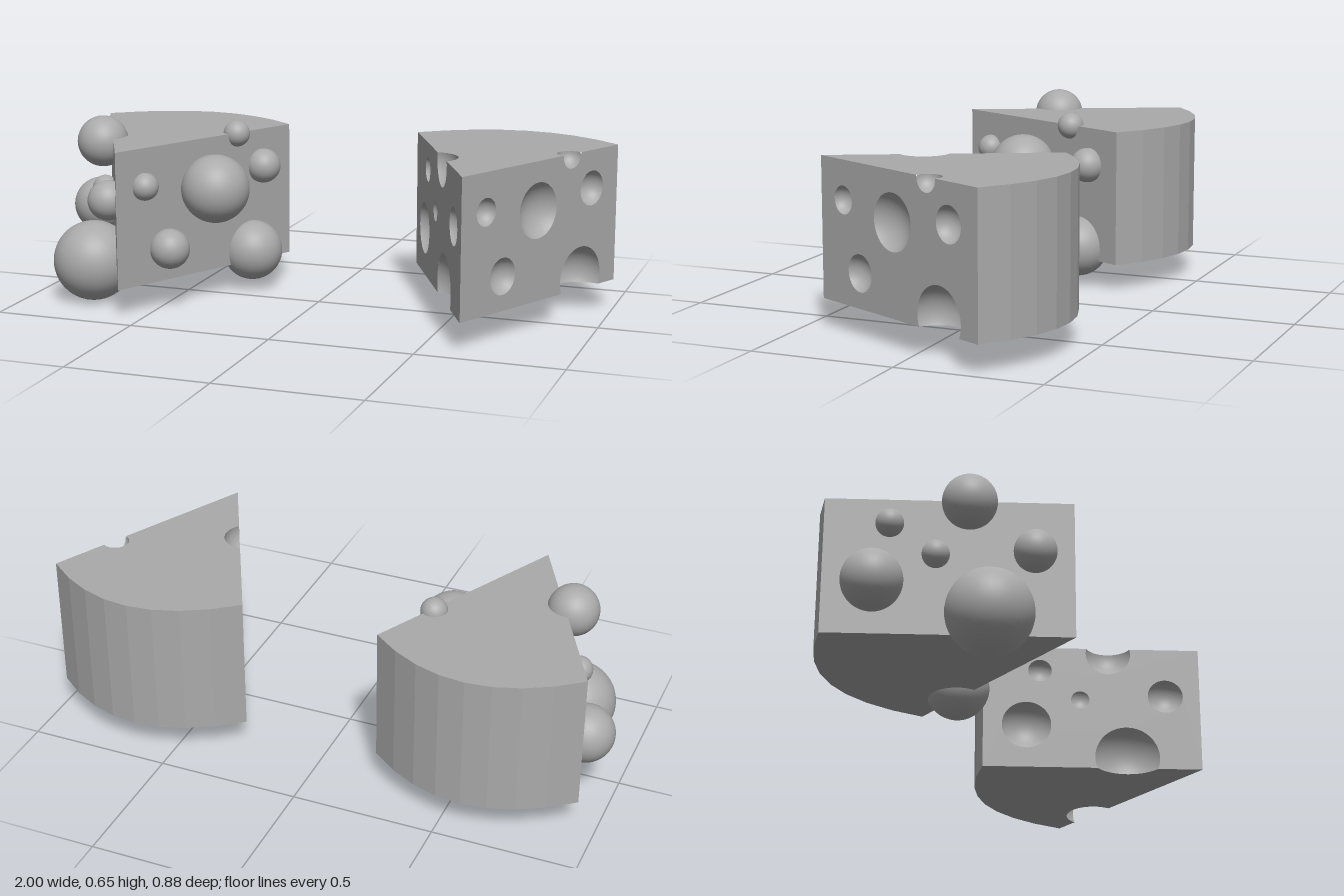
import * as THREE from 'three';

const Y0 = 0.1, Y1 = 0.58, APEX = [0, 0.435], HALF = 0.36, BACK = -0.285;
const UP = new THREE.Vector3(0, 1, 0);

// bubbles on each cut side, relative to the wedge: x, y, z, radius
const LEFT = [
  [-0.182, 0.56, 0.147, 0.09], [-0.192, 0.143, 0.225, 0.142], [-0.325, 0.267, -0.123, 0.1],
  [-0.278, 0.487, -0.09, 0.046], [-0.08, 0.39, 0.332, 0.07], [-0.225, 0.37, 0.05, 0.045],
];
const RIGHT = [
  [0.06, 0.447, 0.33, 0.048], [0.236, 0.412, 0.125, 0.12], [0.12, 0.218, 0.263, 0.07],
  [0.28, 0.142, -0.113, 0.108], [0.242, 0.576, -0.065, 0.047], [0.308, 0.447, -0.155, 0.062],
];

// a cut side: origin, direction along it, outward normal
function makeSide(from, to) {
  const origin = new THREE.Vector3(from[0], 0, from[1]);
  const along = new THREE.Vector3(to[0], 0, to[1]).sub(origin);
  const length = along.length();
  along.normalize();
  return { origin, along, length, normal: along.clone().cross(UP) };
}

// position of a bubble relative to its side
function locate([x, y, z, r], side) {
  const c = new THREE.Vector3(x, y, z);
  const rel = c.clone().sub(side.origin);
  return { c, r, y, e: rel.dot(side.along), d: rel.dot(side.normal),
    cutTop: y + r > Y1, cutBottom: y - r < Y0 };
}

// straight outline edge with round bites; inside lies to the left of the edge
function edge(p0, p1, bites) {
  const a = new THREE.Vector2(...p0), dir = new THREE.Vector2(...p1).sub(a).normalize();
  const inward = new THREE.Vector2(-dir.y, dir.x);
  const pts = [a.clone()];
  for (const { e, o, R } of [...bites].sort((p, q) => p.e - q.e)) {
    const max = Math.acos(-o / R);
    for (let i = 0; i <= 36; i++) {
      const b = max * (i / 18 - 1);
      pts.push(a.clone().addScaledVector(dir, e + R * Math.sin(b))
        .addScaledVector(inward, i % 36 === 0 ? 0 : o + R * Math.cos(b)));
    }
  }
  return pts;
}

// flat cut side with its round openings
function sideGeometry(side, bubbles) {
  const L = side.length;
  const circle = (b) => Math.sqrt(b.r ** 2 - b.d ** 2);
  const low = bubbles.filter((b) => b.cutBottom).map((b) => ({ e: b.e, o: b.y - Y0, R: circle(b) }));
  const high = bubbles.filter((b) => b.cutTop).map((b) => ({ e: L - b.e, o: Y1 - b.y, R: circle(b) }));
  const shape = new THREE.Shape([
    ...edge([0, Y0], [L, Y0], low), new THREE.Vector2(L, Y0),
    ...edge([L, Y1], [0, Y1], high), new THREE.Vector2(0, Y1),
  ]);
  for (const b of bubbles) {
    if (b.cutTop || b.cutBottom) continue;
    shape.holes.push(new THREE.Path().absarc(b.e, b.y, circle(b), 0, Math.PI * 2, true));
  }
  const m = new THREE.Matrix4().makeBasis(side.along, UP, side.normal).setPosition(side.origin);
  return new THREE.ShapeGeometry(shape, 24).applyMatrix4(m);
}

// hollow: the part of a sphere that lies inside the wedge, facing its centre
function hollowGeometry(b, side) {
  const N = 40, M = 28, pos = [], nor = [], idx = [];
  const inward = side.normal.clone().negate(), t = side.along.clone().negate();
  const S = b.d > 0 ? Math.sqrt(b.r ** 2 - b.d ** 2) : b.r;
  const clamp = (v) => THREE.MathUtils.clamp(v, -1, 1);
  for (let i = 0; i <= N; i++) {
    const s = S * Math.sin(Math.PI * (i / N - 0.5));
    const rho = Math.max(Math.sqrt(Math.max(b.r ** 2 - s * s, 0)), 1e-6);
    const open = Math.acos(clamp(b.d / rho));
    let lo = -open, hi = open;
    if (b.cutTop && Y1 - b.y < rho) hi = Math.min(hi, Math.asin((Y1 - b.y) / rho));
    if (b.cutBottom && b.y - Y0 < rho) lo = Math.max(lo, -Math.asin((b.y - Y0) / rho));
    for (let j = 0; j <= M; j++) {
      const a = lo + (hi - lo) * j / M;
      const v = t.clone().multiplyScalar(s).addScaledVector(inward, rho * Math.cos(a))
        .addScaledVector(UP, rho * Math.sin(a));
      nor.push(-v.x / b.r, -v.y / b.r, -v.z / b.r);
      v.add(b.c);
      pos.push(v.x, v.y, v.z);
      if (i < N && j < M) {
        const k = i * (M + 1) + j, n = k + M + 1;
        idx.push(k, k + 1, n, k + 1, n + 1, n);
      }
    }
  }
  const g = new THREE.BufferGeometry();
  g.setAttribute('position', new THREE.Float32BufferAttribute(pos, 3));
  g.setAttribute('normal', new THREE.Float32BufferAttribute(nor, 3));
  g.setIndex(idx);
  return g;
}

// curved rind outline from the right corner to the left, as x and -z
const rind = new THREE.QuadraticBezierCurve(new THREE.Vector2(HALF, -BACK),
  new THREE.Vector2(0, 0.598), new THREE.Vector2(-HALF, -BACK)).getPoints(8);

// top or bottom face, bitten where bubbles break through it
function capGeometry(y, leftBubbles, rightBubbles, key) {
  const bites = (list) => list.filter((b) => b[key]).map((b) => (
    { e: b.e, o: -b.d, R: Math.sqrt(b.r ** 2 - (y - b.y) ** 2) }));
  const apex = [0, -APEX[1]];
  const shape = new THREE.Shape([
    ...edge(apex, [HALF, -BACK], bites(rightBubbles)), ...rind.slice(0, -1),
    ...edge([-HALF, -BACK], apex, bites(leftBubbles)),
  ]);
  const g = new THREE.ShapeGeometry(shape).rotateX(-Math.PI / 2).translate(0, y, 0);
  if (key === 'cutBottom') {
    g.index.array.reverse();
    g.computeVertexNormals();
  }
  return g;
}

// faceted curved back
function rindGeometry() {
  const pos = [];
  for (let i = 0; i < rind.length - 1; i++) {
    const a = rind[i], b = rind[i + 1];
    pos.push(a.x, Y0, -a.y, b.x, Y0, -b.y, b.x, Y1, -b.y);
    pos.push(a.x, Y0, -a.y, b.x, Y1, -b.y, a.x, Y1, -a.y);
  }
  const g = new THREE.BufferGeometry();
  g.setAttribute('position', new THREE.Float32BufferAttribute(pos, 3));
  g.computeVertexNormals();
  return g;
}

export function createModel() {
  const grey = new THREE.MeshStandardMaterial({ color: 0xaaaaaa });
  grey.name = 'plain grey';
  const model = new THREE.Group();
  model.name = 'cheeseWedges';
  const add = (group, name, geometry) => {
    const mesh = new THREE.Mesh(geometry, grey);
    mesh.name = name;
    group.add(mesh);
    return mesh;
  };
  const leftSide = makeSide([-HALF, BACK], APEX), rightSide = makeSide(APEX, [HALF, BACK]);

  function wedge(name, x, leftList, rightList) {
    const g = new THREE.Group();
    g.name = name;
    g.position.x = x;
    const l = leftList.map((b) => locate(b, leftSide)), r = rightList.map((b) => locate(b, rightSide));
    add(g, 'rind', rindGeometry());
    add(g, 'topFace', capGeometry(Y1, l, r, 'cutTop'));
    add(g, 'bottomFace', capGeometry(Y0, l, r, 'cutBottom'));
    add(g, 'rightCutSide', sideGeometry(leftSide, l));
    add(g, 'leftCutSide', sideGeometry(rightSide, r));
    for (const b of l) add(g, 'hollow', hollowGeometry(b, leftSide));
    for (const b of r) add(g, 'hollow', hollowGeometry(b, rightSide));
    model.add(g);
    return g;
  }

  // solid wedge with the bubbles standing out, and wedge with them carved away
  const solid = wedge('solidWedge', -0.575, [], []);
  for (const [x, y, z, r] of [...LEFT, ...RIGHT]) {
    add(solid, 'bubble', new THREE.SphereGeometry(r, 40, 28)).position.set(x, y, z);
  }
  wedge('holedWedge', 0.635, LEFT, RIGHT);
  return model;
}
